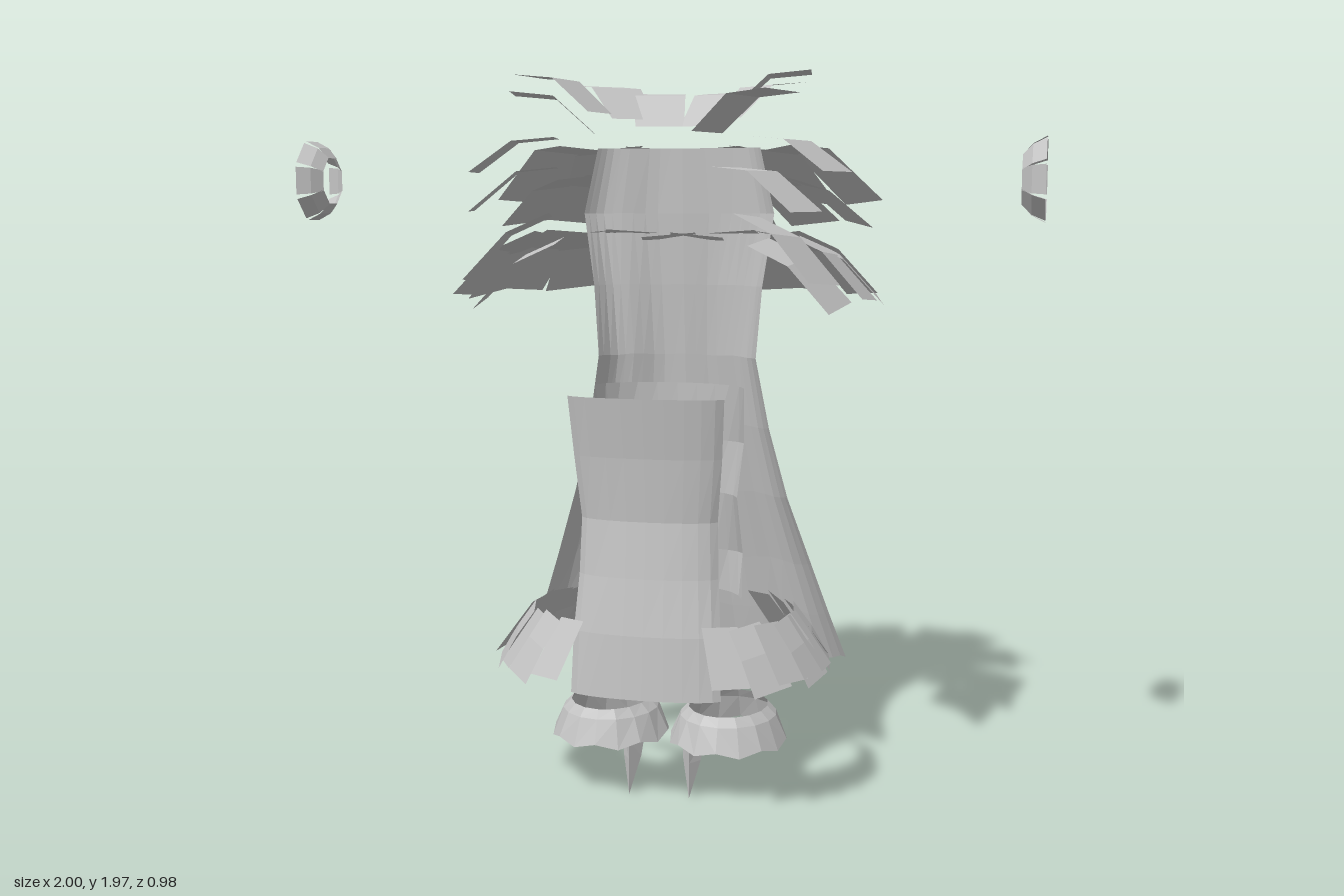
import * as THREE from 'three';

const cloth = new THREE.MeshStandardMaterial({ color: 0xc4c4c4, side: THREE.DoubleSide, flatShading: true });
cloth.name = 'plain grey';
const rad = THREE.MathUtils.degToRad;

// Grid surface from a rule (row, column) -> [x, y, z]
function surface(rows, cols, rule) {
  const pos = [], index = [];
  for (let i = 0; i < rows; i++) for (let j = 0; j < cols; j++) pos.push(...rule(i, j));
  for (let i = 0; i < rows - 1; i++) for (let j = 0; j < cols - 1; j++) {
    const a = i * cols + j, b = a + cols;
    index.push(a, b, a + 1, a + 1, b, b + 1);
  }
  const g = new THREE.BufferGeometry();
  g.setAttribute('position', new THREE.Float32BufferAttribute(pos, 3));
  g.setIndex(index);
  g.computeVertexNormals();
  return g;
}

function add(parent, name, geometry) {
  const m = new THREE.Mesh(geometry, cloth);
  m.name = name;
  parent.add(m);
  return m;
}

// Hanging cloth: rows of [y, half width, z at middle, z at edges], with soft folds
function drape(rows, cols, fold = 0, wave = 0) {
  return surface(rows.length, cols, (i, j) => {
    const [y, w, zm, ze] = rows[i];
    const u = (j / (cols - 1)) * 2 - 1, low = i / (rows.length - 1);
    const f = Math.cos(u * 13);
    return [w * Math.sin(u * 1.35) / Math.sin(1.35), y + f * wave * low * low,
      zm + (ze - zm) * u * u + f * fold * (0.3 + low)];
  });
}

// Bent plate: starts at x, y, z and runs outwards along a heading (0 = side, 90 = front)
function plate(parent, name, x, y, z, heading, width, profile, tilt = 0) {
  const g = surface(profile.length, 2, (i, j) =>
    [profile[i][0], profile[i][1], (j ? -0.5 : 0.5) * width * (0.9 + 0.1 * i)]);
  const m = add(parent, name, g);
  m.position.set(x, y, z);
  m.rotation.set(rad(tilt), -rad(heading), 0, 'YXZ');
}

function group(parent, name) {
  const g = new THREE.Group();
  g.name = name;
  parent.add(g);
  return g;
}

// Collar, shoulder, hip and boot plates of the left half
function buildSide(side) {
  const collar = group(side, 'collarPlates');
  const up = [[0, 0], [0.1, 0.09], [0.21, 0.1]];
  for (const [x, y, z, a, w] of [
    [0.15, 1.81, 0.25, 14, 0.2], [0.18, 1.87, 0.08, -8, 0.18],
    [0.13, 1.86, -0.1, -45, 0.16], [0.06, 1.84, -0.11, -75, 0.15],
  ]) plate(collar, 'collarPlate', x, y, z, a, w, up);

  const upper = group(side, 'upperShoulderPlates');
  [-38, -60, -82].forEach((a, i) => {
    const c = Math.cos(rad(a)), s = Math.sin(rad(a)), k = 0.27 + i * 0.03;
    plate(upper, 'upperPlate', 0.3 * c + 0.04, 1.78, 0.13 * s - 0.01, a, 0.18,
      [[0, 0], [k * 0.4, -0.01], [k, -0.15]], i % 2 ? 6 : -4);
    plate(upper, 'middlePlate', 0.32 * c + 0.04, 1.7, 0.14 * s - 0.01, a + 8, 0.18,
      [[0, 0], [0.1, -0.03], [0.23, -0.13]], i % 2 ? -5 : 5);
  });
  plate(upper, 'frontPlate', 0.22, 1.72, 0.35, 15, 0.18, [[0, 0], [0.1, -0.01], [0.22, -0.11]]);
  plate(upper, 'topPlate', 0.27, 1.8, 0.19, 12, 0.2, [[0, 0], [0.11, -0.01], [0.22, -0.09]]);

  const lower = group(side, 'lowerShoulderPlates');
  const fall = [[0, 0], [0.11, -0.05], [0.22, -0.17]];
  [
    [0.26, 1.6, 0.28, 14, 0.19], [0.27, 1.53, 0.17, 8, 0.2], [0.34, 1.55, 0.1, 4, 0.19],
    [0.35, 1.54, -0.02, -12, 0.19], [0.31, 1.55, -0.06, -32, 0.18], [0.23, 1.55, -0.1, -52, 0.18],
    [0.14, 1.55, -0.12, -70, 0.17], [0.04, 1.54, -0.125, -86, 0.17],
  ].forEach(([x, y, z, a, w], i) => plate(lower, 'lowerPlate', x, y, z, a, w, fall, i % 2 ? 5 : -4));

  const hip = group(side, 'hipPlates');
  for (let i = 0; i < 9; i++) {
    const a = 76 - i * 18, c = Math.cos(rad(a)), s = Math.sin(rad(a));
    plate(hip, 'hipPlate', 0.15 + 0.21 * c, 0.53, 0.1 + 0.22 * s, a * 0.65, 0.12,
      [[0, 0], [0.05, -0.07], [0.1, -0.14 - (i % 2) * 0.02]], i % 2 ? 5 : -5);
  }

  // Boot cuff with a pointed toe flap
  const boot = group(side, 'bootCuff');
  const n = 16;
  const tiers = [[0.24, 0.11, 0.14], [0.215, 0.135, 0.155], [0.15, 0.165, 0.18]];
  add(boot, 'cuff', surface(3, n + 1, (i, j) => {
    const [y, rx, rz] = tiers[i], a = (j / n) * Math.PI * 2;
    return [0.17 + rx * Math.cos(a), y - (i === 2 && j % 2 ? 0.015 : 0), 0.03 + rz * Math.sin(a)];
  }));
  add(boot, 'toeFlap', surface(3, 3, (i, j) => {
    const w = [0.03, 0.025, 0][i];
    return [0.085 + (j - 1) * w, [0.15, 0.1, 0.0][i], 0.16 - (j === 1 ? 0 : [0.055, 0.04, 0][i])];
  }));

  // Wrist cuff: ring of small bent plates standing clear of the body, opening outwards
  const wrist = group(side, 'wristCuff');
  for (let i = 0; i < 8; i++) {
    const petal = group(wrist, 'wristPetal');
    petal.position.set(0.94, 1.69, 0.12);
    petal.rotation.x = (i / 8) * Math.PI * 2;
    add(petal, 'petal', surface(3, 2, (r, j) =>
      [[0, 0.025, 0.06][r], [0.062, 0.09, 0.108][r], (j ? 0.5 : -0.5) * [0.055, 0.07, 0.075][r]]));
  }
}

export function createModel() {
  const model = new THREE.Group();
  model.name = 'robe';

  // Long flared cape
  add(model, 'cape', drape([
    [1.78, 0.23, -0.13, -0.08], [1.6, 0.27, -0.14, -0.08], [1.4, 0.24, -0.155, -0.07],
    [1.2, 0.225, -0.175, -0.06], [1.0, 0.26, -0.2, -0.085], [0.8, 0.31, -0.235, -0.11],
    [0.6, 0.375, -0.27, -0.15], [0.45, 0.425, -0.295, -0.175], [0.32, 0.47, -0.32, -0.2],
  ], 21, 0.009, 0.015));

  // Front and back hanging panels
  add(model, 'frontPanel', drape([
    [1.13, 0.21, 0.35, 0.31], [0.97, 0.2, 0.325, 0.285], [0.8, 0.185, 0.31, 0.265],
    [0.65, 0.19, 0.325, 0.275], [0.5, 0.2, 0.345, 0.3], [0.33, 0.205, 0.355, 0.315],
  ], 11));
  add(model, 'backPanel', drape([
    [1.13, 0.21, -0.07, 0.04], [0.97, 0.2, -0.08, -0.02], [0.82, 0.185, -0.1, 0.0],
    [0.65, 0.19, -0.12, -0.065], [0.53, 0.2, -0.15, 0.0],
  ], 11));

  // Plates and cuffs, mirrored
  const left = group(model, 'leftSide');
  buildSide(left);
  const right = left.clone();
  right.name = 'rightSide';
  right.scale.x = -1;
  model.add(right);
  return model;
}
